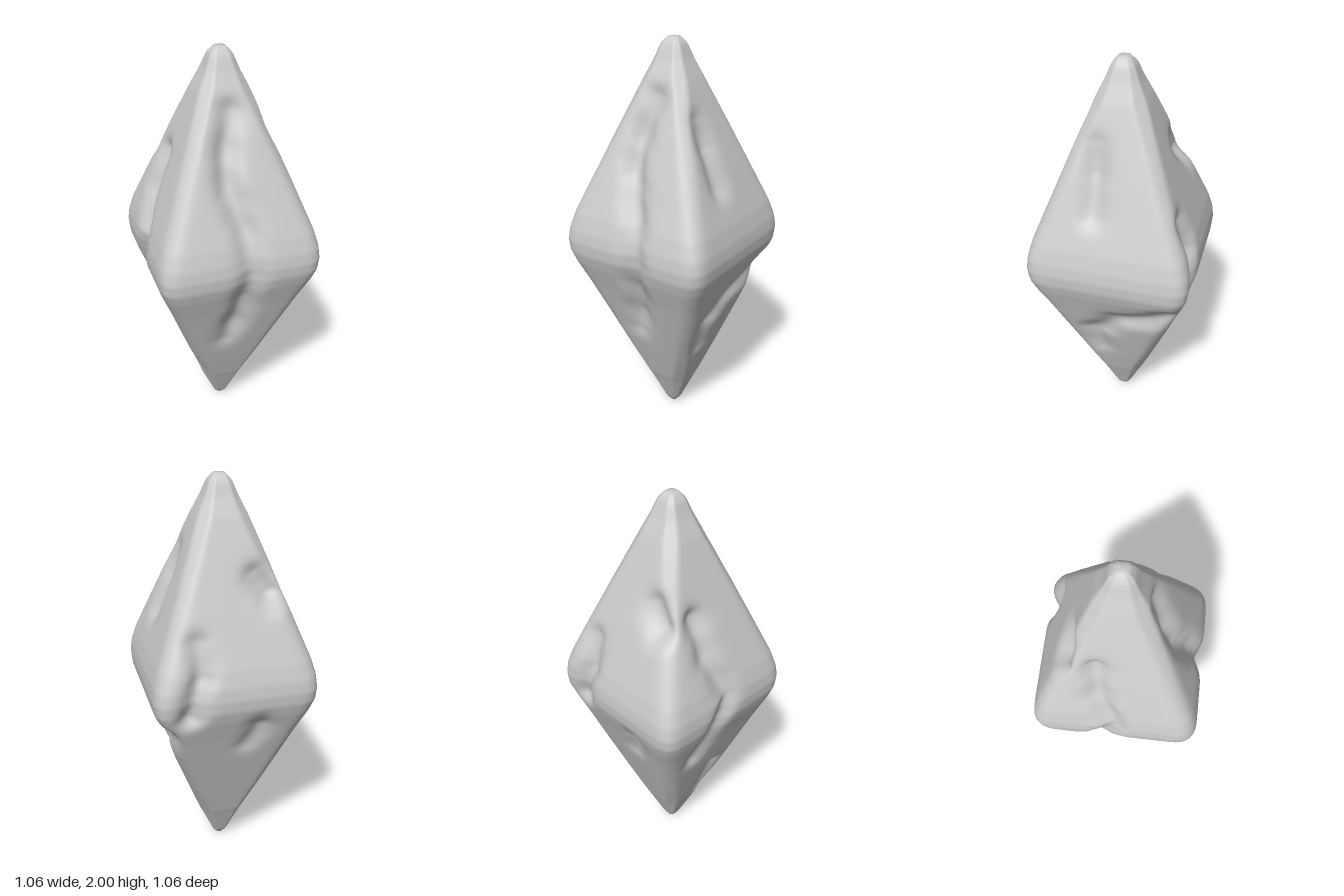
import * as THREE from 'three';

// Corner radius of the crystal at each height: [y, radius]
const PROFILE = [[0, 0.012], [0.03, 0.04], [0.2, 0.122], [0.4, 0.228], [0.6, 0.33], [0.8, 0.432], [0.92, 0.498],
  [0.98, 0.525], [1.04, 0.532], [1.1, 0.522], [1.18, 0.49], [1.4, 0.37], [1.6, 0.26], [1.8, 0.148], [1.9, 0.092], [1.97, 0.06], [2, 0.03]];

function radiusAt(y) {
  let i = 1;
  while (i < PROFILE.length - 1 && y > PROFILE[i][0]) i++;
  const [y0, r0] = PROFILE[i - 1], [y1, r1] = PROFILE[i];
  return r0 + (r1 - r0) * (y - y0) / (y1 - y0);
}

// Faces run a little wider than the blunted corners
const faceSum = (y) => { const r = radiusAt(y); return r + Math.min(0.034, r * 0.25); };

// Chips and cracks: face signs, width, path of [|x|, y, depth] on that face
const CHIPS = [
  { sx: 1, sz: 1, width: 0.062, path: [[0.11, 1.74, 0.03], [0.13, 1.55, 0.055], [0.17, 1.4, 0.055], [0.25, 1.25, 0.05], [0.31, 1.05, 0.035], [0.26, 0.87, 0.05], [0.2, 0.7, 0.045], [0.15, 0.58, 0.025]] },
  { sx: -1, sz: 1, width: 0.055, path: [[0.24, 1.5, 0.045], [0.28, 1.3, 0.045], [0.27, 1.1, 0.04], [0.32, 0.95, 0.035], [0.3, 0.72, 0.03]] },
  { sx: -1, sz: 1, width: 0.04, path: [[0.1, 0.52, 0.025], [0.05, 0.28, 0.015]] },
  { sx: 1, sz: -1, width: 0.06, path: [[0.19, 1.64, 0.02], [0.22, 1.52, 0.045], [0.27, 1.35, 0.03]] },
  { sx: 1, sz: -1, width: 0.065, path: [[0.04, 0.84, 0.045], [0.19, 0.75, 0.035], [0.25, 0.62, 0.035], [0.2, 0.47, 0.02]] },
  { sx: -1, sz: -1, width: 0.055, path: [[0.1, 1.3, 0.03], [0.14, 1.15, 0.055], [0.11, 0.98, 0.055]] },
  { sx: -1, sz: -1, width: 0.065, path: [[0.3, 1.49, 0.065], [0.24, 1.57, 0.04]] },
  { sx: -1, sz: -1, width: 0.06, path: [[0.33, 0.87, 0.035], [0.27, 0.76, 0.02]] },
];
for (const c of CHIPS) {
  c.points = c.path.map(([x, y]) => new THREE.Vector3(c.sx * x, y, c.sz * Math.max(0, faceSum(y) - x)));
}

// Push a point inward near any chip
function chip(p) {
  const offset = new THREE.Vector3(), near = new THREE.Vector3(), line = new THREE.Line3();
  const wobble = 1 + 0.1 * Math.sin(23 * p.y + 9 * p.x) * Math.cos(19 * p.z - 11 * p.y);
  for (const c of CHIPS) {
    let d = Infinity, depth = 0;
    for (let i = 1; i < c.points.length; i++) {
      line.set(c.points[i - 1], c.points[i]);
      const t = line.closestPointToPointParameter(p, true);
      const distance = line.at(t, near).distanceTo(p);
      if (distance < d) {
        d = distance;
        depth = THREE.MathUtils.lerp(c.path[i - 1][2], c.path[i][2], t);
      }
    }
    const k = depth * wobble * Math.exp(-Math.pow(d / (c.width * wobble), 2)) * Math.SQRT1_2;
    offset.x -= c.sx * k;
    offset.z -= c.sz * k;
  }
  return p.add(offset);
}

// Diamond cross-section with softly blunted corners
function sectionPoint(angle, y) {
  const c = Math.abs(Math.cos(angle)), s = Math.abs(Math.sin(angle));
  const flat = faceSum(y) / (c + s), blunt = radiusAt(y) / Math.max(c, s);
  const r = Math.pow(Math.pow(flat, -36) + Math.pow(blunt, -36), -1 / 36);
  return new THREE.Vector3(Math.cos(angle) * r, y, Math.sin(angle) * r);
}

export function createModel() {
  const rows = 150, sides = 160, positions = [], index = [];
  for (let j = 0; j <= rows; j++) {
    for (let i = 0; i < sides; i++) {
      const p = chip(sectionPoint(i / sides * Math.PI * 2, 2 * j / rows));
      positions.push(p.x, p.y, p.z);
    }
  }
  // Side skin
  for (let j = 0; j < rows; j++) {
    for (let i = 0; i < sides; i++) {
      const a = j * sides + i, b = j * sides + (i + 1) % sides;
      index.push(a, a + sides, b, b, a + sides, b + sides);
    }
  }
  // Closing fans at the two tips
  const bottom = positions.length / 3, top = bottom + 1, last = rows * sides;
  positions.push(0, 0, 0, 0, 2, 0);
  for (let i = 0; i < sides; i++) {
    const n = (i + 1) % sides;
    index.push(bottom, i, n, top, last + n, last + i);
  }
  const geometry = new THREE.BufferGeometry();
  geometry.setAttribute('position', new THREE.Float32BufferAttribute(positions, 3));
  geometry.setIndex(index);
  geometry.computeVertexNormals();

  const crystal = new THREE.Mesh(geometry, new THREE.MeshStandardMaterial({ color: 0xcccccc }));
  crystal.name = 'crystal';
  const group = new THREE.Group();
  group.name = 'chippedCrystal';
  group.add(crystal);
  return group;
}
